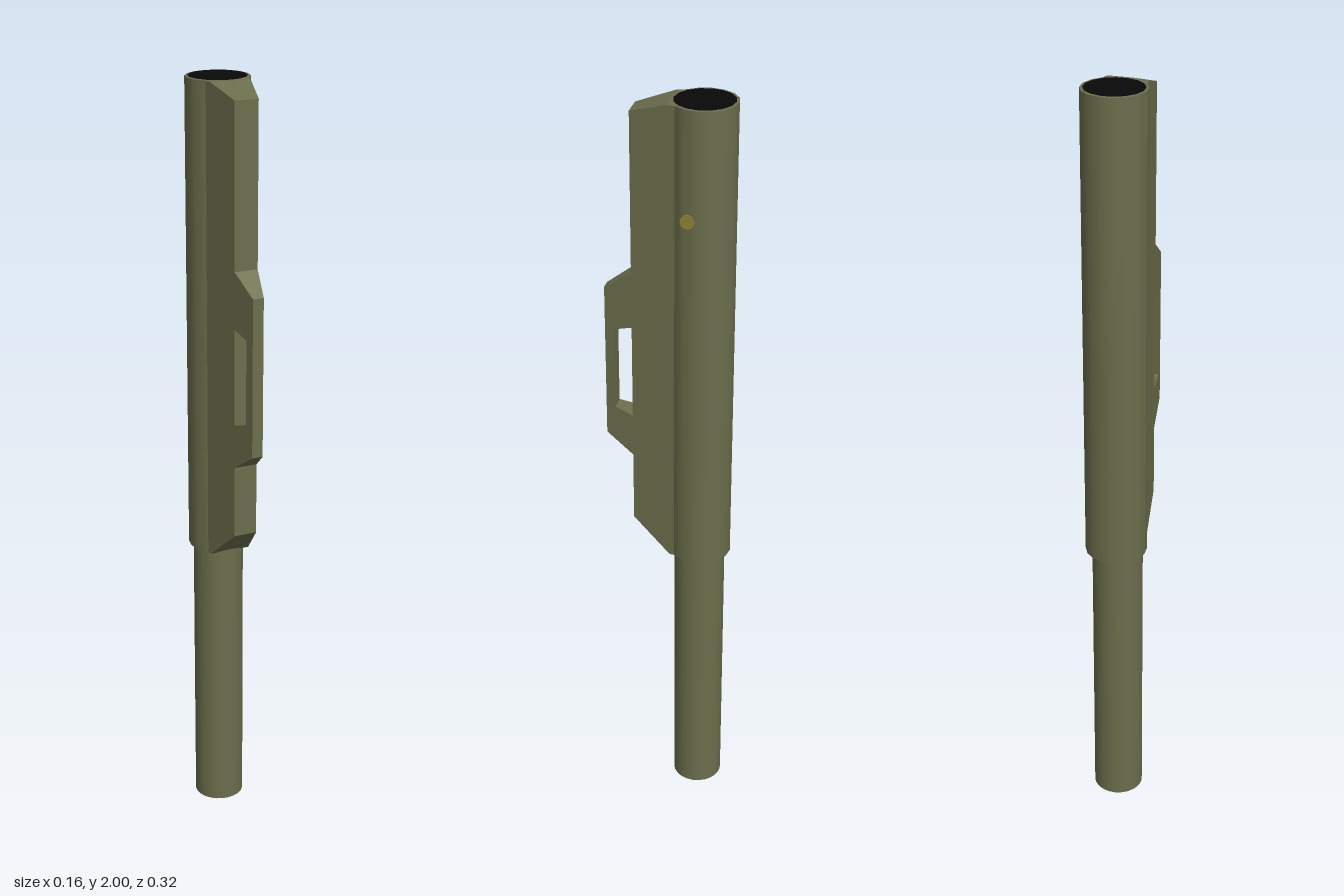
import * as THREE from 'three';

const olive = new THREE.MeshStandardMaterial({ color: 0x6b6e4b });
olive.name = 'olive';
const black = new THREE.MeshStandardMaterial({ color: 0x080808 });
black.name = 'black';
const yellow = new THREE.MeshStandardMaterial({ color: 0x88822f });
yellow.name = 'dull yellow';

const AXIS_Z = -0.081;

function addPart(group, name, geometry, material, x, y, z) {
  const mesh = new THREE.Mesh(geometry, material);
  mesh.name = name;
  mesh.position.set(x, y, z);
  group.add(mesh);
  return mesh;
}

// Side profile (z, y) extruded across x, narrowing evenly towards the front
function finGeometry() {
  const points = (list) => list.map(([z, y]) => new THREE.Vector2(z, y));
  const shape = new THREE.Shape(points([
    [-0.022, 0.771], [-0.01, 0.771], [0.09, 0.86], [0.09, 1.05], [0.162, 1.1],
    [0.162, 1.51], [0.09, 1.56], [0.09, 1.97], [-0.005, 1.999], [-0.022, 1.999],
  ]));
  shape.holes.push(new THREE.Path(points([
    [0.09, 1.165], [0.09, 1.4], [0.137, 1.415], [0.137, 1.18],
  ].map(([z, y], i) => [z, i === 1 ? 1.415 : i === 2 ? 1.4 : y]))));
  const geometry = new THREE.ExtrudeGeometry(shape, { depth: 2, bevelEnabled: false });
  geometry.translate(0, 0, -1);
  geometry.rotateY(-Math.PI / 2);
  const p = geometry.attributes.position;
  for (let i = 0; i < p.count; i++) {
    p.setX(i, Math.sign(p.getX(i)) * (0.051 - 0.227 * p.getZ(i)));
  }
  geometry.computeVertexNormals();
  return geometry;
}

export function createModel() {
  const group = new THREE.Group();
  group.name = 'handle';

  // Upper sleeve and narrower lower tube
  addPart(group, 'upperSleeve', new THREE.CylinderGeometry(0.08, 0.08, 1.228, 16), olive, 0, 1.385, AXIS_Z);
  addPart(group, 'lowerTube', new THREE.CylinderGeometry(0.066, 0.066, 0.8, 24), olive, -0.003, 0.401, -0.079);

  // Dark end openings
  const mouth = addPart(group, 'topOpening', new THREE.CircleGeometry(0.073, 16), black, 0, 2, AXIS_Z);
  mouth.rotation.x = -Math.PI / 2;
  const base = addPart(group, 'bottomOpening', new THREE.CircleGeometry(0.066, 24), black, -0.003, 0, -0.079);
  base.rotation.x = Math.PI / 2;

  // Tapered front fin with the slotted grip
  addPart(group, 'frontFin', finGeometry(), olive, 0, 0, 0);

  // Small round button on the left side
  const button = addPart(group, 'button', new THREE.CylinderGeometry(0.018, 0.018, 0.02, 12), yellow, 0.069, 1.73, -0.058);
  button.rotation.z = -Math.PI / 2;

  return group;
}
